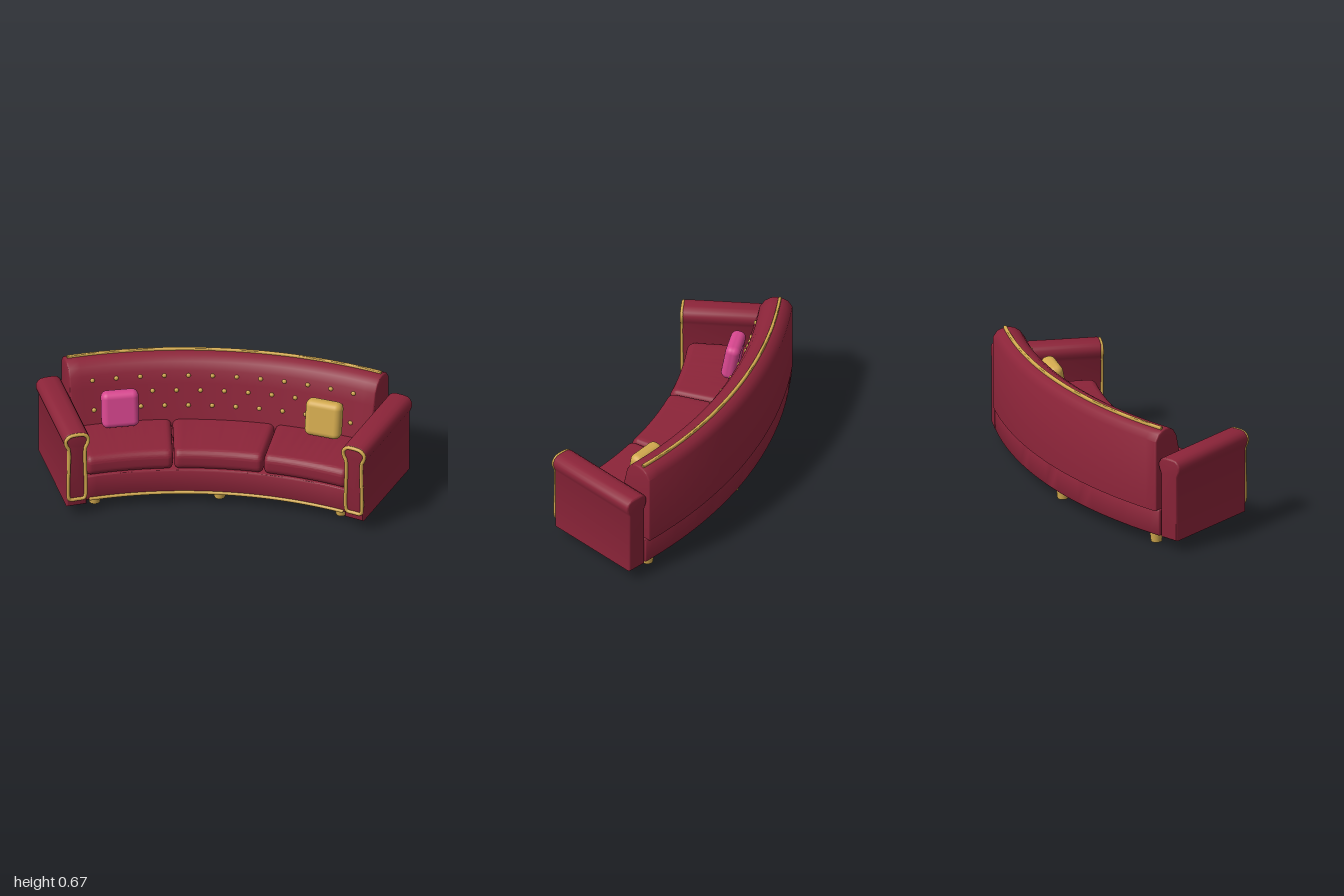
import * as THREE from 'three';
import { toCreasedNormals } from 'three/addons/utils/BufferGeometryUtils.js';
import { RoundedBoxGeometry } from 'three/addons/geometries/RoundedBoxGeometry.js';

const ZC = 2.165; // z of the centre of the sofa's curve

// point at radius r, height y and angle a on the curve
const onArc = (r, y, a) => new THREE.Vector3(r * Math.sin(a), y, ZC - r * Math.cos(a));

// sweep a (radius, height) profile along the curve from angle a0 to a1
function arcSolid(shape, a0, a1, bevel, bevelSegments = 3) {
  const t = bevel / 2.2;
  const geo = new THREE.ExtrudeGeometry(shape, {
    depth: a1 - a0 - 2 * t, steps: 28, curveSegments: 8,
    bevelThickness: t, bevelSize: bevel, bevelOffset: -bevel, bevelSegments,
  });
  const p = geo.attributes.position;
  for (let i = 0; i < p.count; i++) {
    const v = onArc(p.getX(i), p.getY(i), a0 + t + p.getZ(i));
    p.setXYZ(i, v.x, v.y, v.z);
  }
  return toCreasedNormals(geo, 0.6);
}

function polygon(points) {
  return new THREE.Shape(points.map(([x, y]) => new THREE.Vector2(x, y)));
}

function roundedRect(x0, y0, x1, y1, r) {
  const s = new THREE.Shape();
  s.absarc(x1 - r, y0 + r, r, -Math.PI / 2, 0);
  s.absarc(x1 - r, y1 - r, r, 0, Math.PI / 2);
  s.absarc(x0 + r, y1 - r, r, Math.PI / 2, Math.PI);
  s.absarc(x0 + r, y0 + r, r, Math.PI, Math.PI * 1.5);
  s.closePath();
  return s;
}

// arm outline: straight body with a wider rolled top, shrunk by inset
function armOutline(inset, bottom) {
  const half = [[0.055, bottom], [0.055, 0.425], [0.064, 0.445], [0.07, 0.465],
    [0.07, 0.485], [0.06, 0.504], [0.044, 0.516], [0.02, 0.52]]
    .map(([x, y]) => [Math.max(x - inset, 0.01), y > 0.46 ? y - inset * (y - 0.46) / 0.06 : y]);
  return [...half, ...half.map(([x, y]) => [-x, y]).reverse()];
}

export function createModel() {
  const model = new THREE.Group();
  const mat = (name, color) => {
    const m = new THREE.MeshStandardMaterial({ color });
    m.name = name;
    return m;
  };
  const red = mat('burgundy upholstery', 0x8c2439);
  const gold = mat('gold', 0xd2a94e);
  const pink = mat('pink fabric', 0xd8478f);

  const add = (name, geo, material, parent = model) => {
    const mesh = new THREE.Mesh(geo, material);
    mesh.name = name;
    parent.add(mesh);
    return mesh;
  };

  // curved base
  add('base', arcSolid(roundedRect(1.998, 0.065, 2.535, 0.212, 0.01), -0.352, 0.352, 0.006), red);

  // backrest, leaning and rounded at the top
  const backProfile = polygon([[2.285, 0.208], [2.55, 0.208], [2.55, 0.6], [2.527, 0.635],
    [2.5, 0.648], [2.47, 0.655], [2.437, 0.65], [2.405, 0.63], [2.378, 0.59], [2.362, 0.52], [2.33, 0.405]]);
  add('backrest', arcSolid(backProfile, -0.348, 0.348, 0.008), red);

  // trim along the top of the back and the foot of the base
  add('backTrim', arcSolid(roundedRect(2.477, 0.645, 2.493, 0.665, 0.004), -0.342, 0.342, 0.002, 1), gold);
  const foot = [];
  for (let i = 0; i <= 24; i++) foot.push(onArc(1.996, 0.073, -0.345 + 0.69 * i / 24));
  add('baseTrim', new THREE.TubeGeometry(new THREE.CatmullRomCurve3(foot), 60, 0.009, 8), gold);

  // three seat cushions
  const seatProfile = roundedRect(1.992, 0.208, 2.35, 0.327, 0.045);
  [[-0.35, -0.12], [-0.117, 0.117], [0.12, 0.35]].forEach(([a0, a1], i) =>
    add('seatCushion' + (i + 1), arcSolid(seatProfile, a0, a1, 0.03, 5), red));

  // staggered rows of buttons
  const buttons = new THREE.Group();
  buttons.name = 'backButtons';
  model.add(buttons);
  const buttonGeo = new THREE.SphereGeometry(0.0125, 10, 8);
  [[12, 0.565, 2.37], [11, 0.485, 2.35], [12, 0.405, 2.328]].forEach(([n, y, r]) => {
    for (let i = 0; i < n; i++) {
      const a = (i - (n - 1) / 2) * 0.0538;
      const b = add('button', buttonGeo, gold, buttons);
      b.position.copy(onArc(r, y, a));
      b.rotation.y = -a;
      b.scale.z = 0.75;
    }
  });

  // arms with piped front panels
  const L = 0.572;
  const armGeo = toCreasedNormals(new THREE.ExtrudeGeometry(polygon(armOutline(0, 0.065)), {
    depth: L - 0.02, bevelThickness: 0.01, bevelSize: 0.008, bevelOffset: -0.008, bevelSegments: 3,
  }).translate(0, 0, 0.01 - L / 2), 0.6);
  const loop = [[0, 0.108], [0.038, 0.11], ...armOutline(0.009, 0.125), [-0.038, 0.11]]
    .map(([x, y]) => new THREE.Vector3(x, y, L / 2 + 0.002));
  const pipeGeo = new THREE.TubeGeometry(
    new THREE.CatmullRomCurve3(loop, true, 'centripetal'), 120, 0.01, 8, true);
  for (const side of [-1, 1]) {
    const arm = new THREE.Group();
    arm.name = side > 0 ? 'leftArm' : 'rightArm';
    arm.position.set(side * 0.834, 0, 0.075);
    arm.rotation.y = -side * 0.358;
    add('armBody', armGeo, red, arm);
    add('armPiping', pipeGeo, gold, arm);
    model.add(arm);
  }

  // tapered legs
  const legGeo = new THREE.CylinderGeometry(0.037, 0.029, 0.07, 20).translate(0, 0.035, 0);
  for (const r of [2.078, 2.467])
    for (const a of [-0.32, 0, 0.32])
      add('leg', legGeo, gold).position.copy(onArc(r, 0, a));

  // throw pillows leaning on the back
  const pillowGeo = new RoundedBoxGeometry(0.2, 0.205, 0.08, 4, 0.034);
  [[-1, pink, 'pinkPillow'], [1, gold, 'goldPillow']].forEach(([side, material, name]) => {
    const pillow = add(name, pillowGeo, material);
    pillow.position.copy(onArc(2.275, 0.437, side * 0.24));
    pillow.rotation.set(-0.17, -side * 0.24, 0, 'YXZ');
  });

  return model;
}
